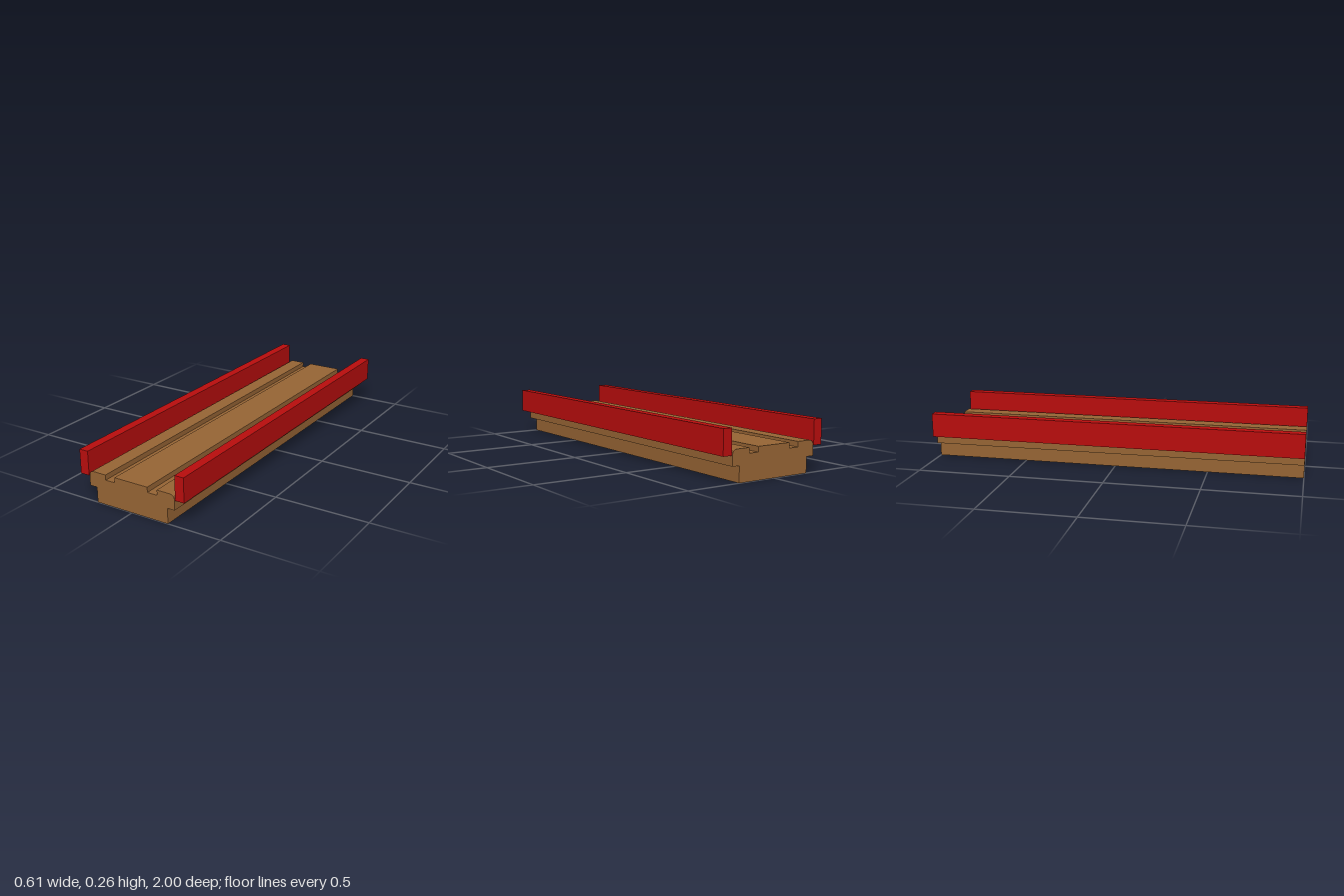
import * as THREE from 'three';

const LENGTH = 2;

export function createModel() {
  const wood = new THREE.MeshStandardMaterial({ color: 0x966434 });
  wood.name = 'brown wood';
  const red = new THREE.MeshStandardMaterial({ color: 0xb80d0d });
  red.name = 'red paint';

  const model = new THREE.Group();
  model.name = 'groovedTrack';

  // Track bed: stepped base, rounded shoulders and two wheel grooves
  const foot = 0.21, side = 0.251, step = 0.081, top = 0.16;
  const floor = 0.133, inner = 0.097, outer = 0.152, r = 0.025;
  const s = new THREE.Shape();
  s.moveTo(-foot, 0);
  s.lineTo(foot, 0);
  s.lineTo(foot, step);
  s.lineTo(side, step);
  s.lineTo(side, top - r);
  s.absarc(side - r, top - r, r, 0, Math.PI / 2, false);
  for (const [a, b] of [[outer, inner], [-inner, -outer]]) {
    s.lineTo(a, top);
    s.lineTo(a, floor);
    s.lineTo(b, floor);
    s.lineTo(b, top);
  }
  s.lineTo(r - side, top);
  s.absarc(r - side, top - r, r, Math.PI / 2, Math.PI, false);
  s.lineTo(-side, step);
  s.lineTo(-foot, step);
  s.closePath();
  const bedGeometry = new THREE.ExtrudeGeometry(s, { depth: LENGTH, bevelEnabled: false, curveSegments: 10 });
  bedGeometry.translate(0, 0, -LENGTH / 2);
  const bed = new THREE.Mesh(bedGeometry, wood);
  bed.name = 'trackBed';
  model.add(bed);

  // Side rails, set just clear of the bed
  for (const [name, sign] of [['leftRail', 1], ['rightRail', -1]]) {
    const rail = new THREE.Mesh(new THREE.BoxGeometry(0.05, 0.128, LENGTH), red);
    rail.name = name;
    rail.position.set(sign * 0.28, 0.196, 0);
    model.add(rail);
  }
  return model;
}
